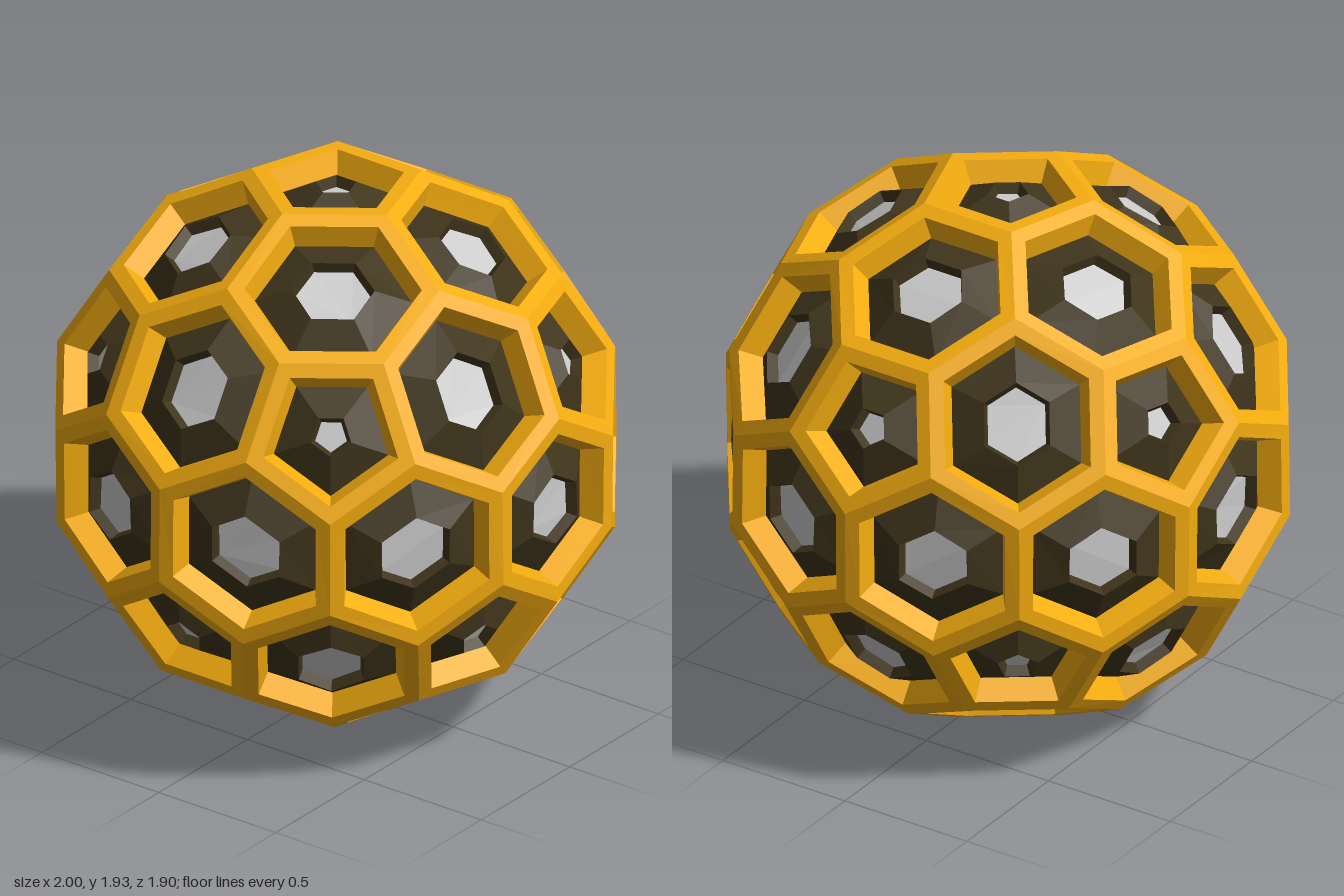
import * as THREE from 'three';

const orange = new THREE.MeshStandardMaterial({ color: 0xf5ad10, flatShading: true, side: THREE.DoubleSide });
const dark = new THREE.MeshStandardMaterial({ color: 0x40351c, flatShading: true, side: THREE.DoubleSide });
const grey = new THREE.MeshStandardMaterial({ color: 0xcccccc, flatShading: true, side: THREE.DoubleSide });

const RADIUS = 1.0127;  // sphere through all cell corners
const CENTRE_Y = 0.966;

// Cell directions: 12 icosahedron vertices (pentagons) and 30 edge midpoints (hexagons)
function cellDirections() {
  const y = 1 / Math.sqrt(5), r = 2 * y;
  const dirs = [new THREE.Vector3(0, 1, 0), new THREE.Vector3(0, -1, 0)];
  for (let k = 0; k < 10; k++) {
    const a = k * Math.PI / 5;
    dirs.push(new THREE.Vector3(r * Math.cos(a), k % 2 ? -y : y, r * Math.sin(a)));
  }
  for (let i = 0; i < 12; i++)
    for (let j = i + 1; j < 12; j++)
      if (dirs[i].distanceTo(dirs[j]) < 1.1)
        dirs.push(dirs[i].clone().add(dirs[j]).normalize());
  return dirs;
}

// Every three mutually neighbouring cells share one corner
function cellCorners(dirs) {
  const near = (i, j) => dirs[i].distanceTo(dirs[j]) < 0.65;
  const corners = dirs.map(() => []);
  for (let i = 0; i < dirs.length; i++)
    for (let j = i + 1; j < dirs.length; j++) {
      if (!near(i, j)) continue;
      for (let k = j + 1; k < dirs.length; k++) {
        if (!near(i, k) || !near(j, k)) continue;
        const p = dirs[i].clone().add(dirs[j]).add(dirs[k]).setLength(RADIUS);
        [i, j, k].forEach((c) => corners[c].push(p));
      }
    }
  return corners;
}

// Order the corners counter-clockwise around the outward normal
function sortAround(points, n) {
  const u = points[0].clone().projectOnPlane(n).normalize();
  const v = n.clone().cross(u);
  const angle = (p) => Math.atan2(p.dot(v), p.dot(u));
  return [...points].sort((a, b) => angle(a) - angle(b));
}

// Outline moved in by an even width, and sunk along the normal
function ring(points, n, inset, depth) {
  const count = points.length;
  return points.map((p, i) => {
    const a = points[(i + count - 1) % count].clone().sub(p).normalize();
    const b = points[(i + 1) % count].clone().sub(p).normalize();
    const half = a.angleTo(b) / 2;
    return p.clone()
      .addScaledVector(a.add(b).normalize(), inset / Math.sin(half))
      .addScaledVector(n, -depth);
  });
}

function mesh(name, triangles, material) {
  const geometry = new THREE.BufferGeometry().setFromPoints(triangles);
  geometry.computeVertexNormals();
  const m = new THREE.Mesh(geometry, material);
  m.name = name;
  return m;
}

// Bands of quads joining consecutive rings, outer to inner
function bands(rings) {
  const out = [];
  for (let k = 0; k + 1 < rings.length; k++) {
    const A = rings[k], B = rings[k + 1];
    A.forEach((p, i) => {
      const j = (i + 1) % A.length;
      out.push(p, A[j], B[j], p, B[j], B[i]);
    });
  }
  return out;
}

function fan(points) {
  const out = [];
  for (let i = 1; i + 1 < points.length; i++) out.push(points[0], points[i], points[i + 1]);
  return out;
}

export function createModel() {
  const model = new THREE.Group();
  model.name = 'honeycombBall';
  const dirs = cellDirections();
  const corners = cellCorners(dirs);

  dirs.forEach((n, c) => {
    const outline = sortAround(corners[c], n);
    const at = (inset, depth) => ring(outline, n, inset, depth);
    const cell = new THREE.Group();
    cell.name = outline.length === 5 ? 'pentagonCell' : 'hexagonCell';

    // Raised rim with a tapering inner wall
    const wallFoot = at(0.08, 0.08);
    cell.add(mesh('rim', bands([at(0, 0), at(0.05, 0), wallFoot]), orange));

    // Shallow pyramid cover with a hole
    const holeFoot = at(0.2, 0.05);
    cell.add(mesh('cover', bands([wallFoot, at(0.187, 0.012), holeFoot]), dark));

    // Plate at the bottom of the hole
    cell.add(mesh('corePlate', fan(holeFoot), grey));
    model.add(cell);
  });

  model.children.forEach((cell) => { cell.position.y = CENTRE_Y; });
  return model;
}
